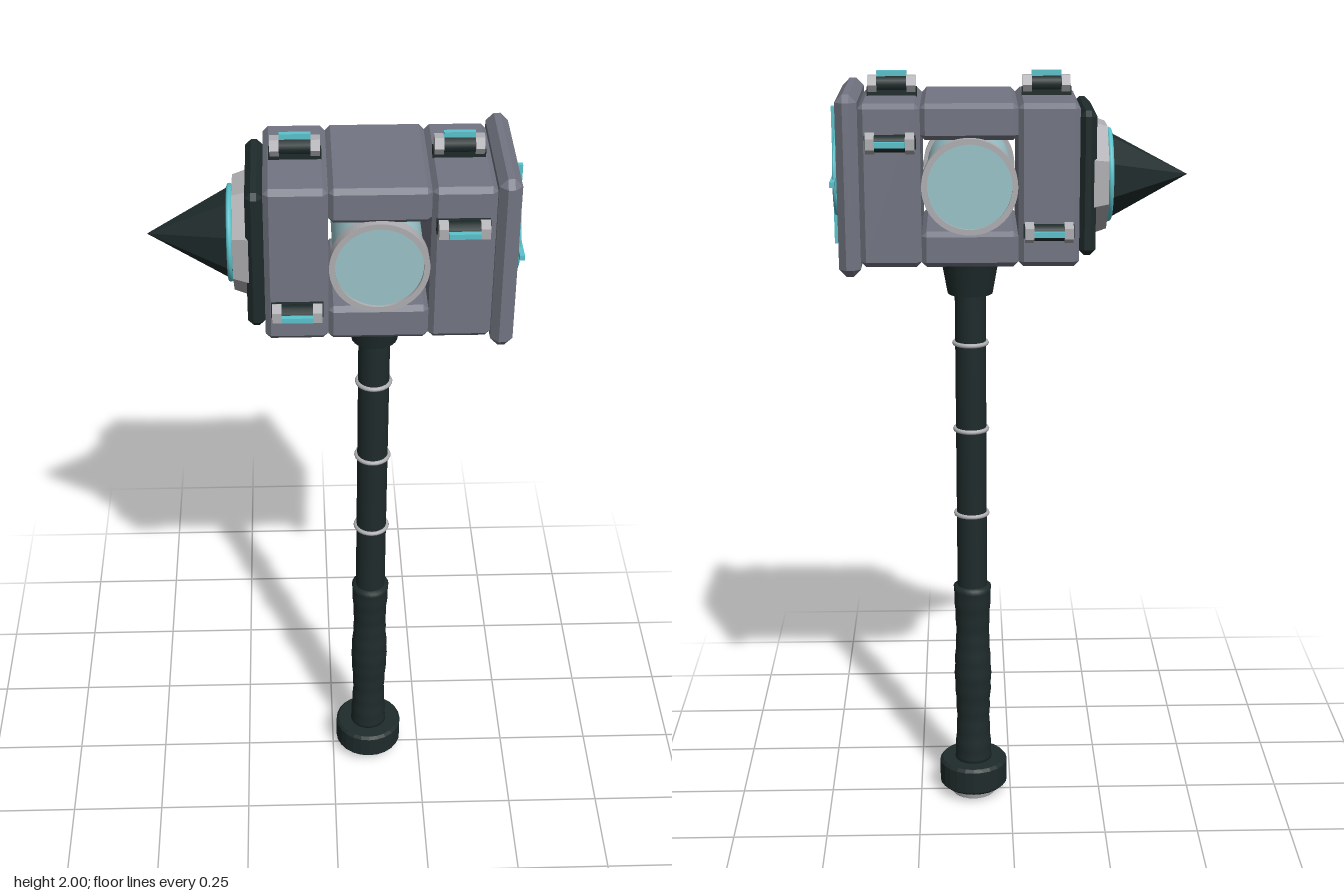
import * as THREE from 'three';
import { ConvexGeometry } from 'three/addons/geometries/ConvexGeometry.js';

const mat = (name, color, extra = {}) => {
  const m = new THREE.MeshStandardMaterial({ color, ...extra });
  m.name = name;
  return m;
};

// Box with flat chamfers on every edge
function chamferBox(w, h, d, c) {
  const pts = [];
  for (const sx of [-1, 1]) for (const sy of [-1, 1]) for (const sz of [-1, 1]) {
    const x = w / 2, y = h / 2, z = d / 2;
    pts.push(new THREE.Vector3(sx * x, sy * (y - c), sz * (z - c)));
    pts.push(new THREE.Vector3(sx * (x - c), sy * y, sz * (z - c)));
    pts.push(new THREE.Vector3(sx * (x - c), sy * (y - c), sz * z));
  }
  return new ConvexGeometry(pts);
}

export function createModel() {
  const model = new THREE.Group();
  model.name = 'warHammer';
  const steel = mat('steel', 0x737683);
  const dark = mat('darkMetal', 0x1f2b2b);
  const darkFlat = mat('darkMetalFaceted', 0x1f2b2b, { flatShading: true });
  const silver = mat('silver', 0xb0b0b4);
  const silverFlat = mat('silverFaceted', 0xb0b0b4, { flatShading: true });
  const cyan = mat('cyanGlow', 0x5cc4ce);
  const glass = mat('paleGlass', 0x9bc5cb);

  const add = (parent, name, geo, material, x = 0, y = 0, z = 0) => {
    const mesh = new THREE.Mesh(geo, material);
    mesh.name = name;
    mesh.position.set(x, y, z);
    parent.add(mesh);
    return mesh;
  };

  const X = 0.103;   // handle axis
  const Y = 1.74;    // head centre height

  // ---- Handle ----
  const handle = new THREE.Group();
  handle.name = 'handle';
  handle.position.x = X;
  model.add(handle);
  add(handle, 'shaft', new THREE.CylinderGeometry(0.04, 0.04, 1.36, 24), dark, 0, 0.77);
  add(handle, 'neck', new THREE.CylinderGeometry(0.077, 0.058, 0.105, 24), dark, 0, 1.489);
  for (const y of [0.833, 1.07, 1.304]) {
    add(handle, 'shaftRing', new THREE.TorusGeometry(0.042, 0.006, 8, 24), silver, 0, y).rotation.x = Math.PI / 2;
  }
  // Grip with gentle waists and fine ridges
  const grip = [new THREE.Vector2(0.038, 0.1)];
  for (let i = 0; i <= 40; i++) {
    const t = i / 40;
    grip.push(new THREE.Vector2(0.0475 + 0.0025 * Math.cos(t * Math.PI * 4) + 0.0008 * Math.cos(i * Math.PI / 2), 0.1 + 0.522 * t));
  }
  grip.push(new THREE.Vector2(0.038, 0.626));
  add(handle, 'grip', new THREE.LatheGeometry(grip, 24), dark);
  const pommel = [[0, 0.026], [0.085, 0.026], [0.093, 0.034], [0.093, 0.096], [0.086, 0.104], [0, 0.104]];
  add(handle, 'pommel', new THREE.LatheGeometry(pommel.map(p => new THREE.Vector2(...p)), 24), darkFlat);
  add(handle, 'pommelCap', new THREE.CylinderGeometry(0.066, 0.06, 0.028, 24), silver, 0, 0.014);

  // ---- Head blocks ----
  const head = new THREE.Group();
  head.name = 'head';
  head.position.y = Y;
  model.add(head);
  add(head, 'spikeBlock', chamferBox(0.15, 0.4, 0.342, 0.013), steel, -0.091);
  add(head, 'faceBlock', chamferBox(0.15, 0.4, 0.342, 0.013), steel, 0.297);
  for (const s of [-1, 1]) {
    add(head, 'middleSlab', chamferBox(0.238, 0.088, 0.342, 0.012), steel, X, s * 0.156);
  }
  add(head, 'strikingPlate', chamferBox(0.054, 0.445, 0.374, 0.019), steel, 0.399);

  // ---- Round window through the middle ----
  add(head, 'windowCore', new THREE.CylinderGeometry(0.108, 0.108, 0.344, 40), glass, X).rotation.x = Math.PI / 2;
  const ringShape = new THREE.Shape().absarc(0, 0, 0.118, 0, Math.PI * 2);
  ringShape.holes.push(new THREE.Path().absarc(0, 0, 0.104, 0, Math.PI * 2, true));
  for (const z of [0.148, -0.18]) {
    const rim = new THREE.ExtrudeGeometry(ringShape, { depth: 0.032, bevelEnabled: false, curveSegments: 40 });
    add(head, 'windowRim', rim, silver, X, 0, z);
  }

  // ---- Cross and ring emblem on the striking plate ----
  add(head, 'crossUpright', new THREE.BoxGeometry(0.012, 0.346, 0.013), cyan, 0.44);
  add(head, 'crossBar', new THREE.BoxGeometry(0.012, 0.013, 0.28), cyan, 0.44);
  add(head, 'crossRing', new THREE.TorusGeometry(0.095, 0.005, 6, 40), cyan, 0.437).rotation.y = Math.PI / 2;

  // ---- Spike, built along +y and turned to point to -x ----
  const spike = new THREE.Group();
  spike.name = 'spike';
  spike.rotation.z = Math.PI / 2;
  head.add(spike);
  add(spike, 'collar', chamferBox(0.356, 0.042, 0.296, 0.014), darkFlat, 0, 0.187);
  const turn = Math.PI / 8;
  add(spike, 'octagonBase', new THREE.CylinderGeometry(0.138, 0.152, 0.04, 8), silverFlat, 0, 0.22).rotation.y = turn;
  add(spike, 'glowRing', new THREE.TorusGeometry(0.111, 0.007, 8, 40), cyan, 0, 0.247).rotation.x = Math.PI / 2;
  add(spike, 'spikeCone', new THREE.ConeGeometry(0.115, 0.207, 8), darkFlat, 0, 0.3435).rotation.y = turn;

  // ---- Bolted clamps: local y points out of the block ----
  const addClamp = (x, y, z, tilt) => {
    const clamp = new THREE.Group();
    clamp.name = 'clamp';
    clamp.position.set(x, y, z);
    clamp.rotation.x = tilt;
    head.add(clamp);
    add(clamp, 'clampFoot', new THREE.BoxGeometry(0.124, 0.022, 0.032), dark, 0, 0.008);
    add(clamp, 'clampRod', new THREE.CylinderGeometry(0.021, 0.021, 0.116, 12), dark, 0, 0.027).rotation.z = Math.PI / 2;
    for (const s of [-1, 1]) {
      const nut = add(clamp, 'clampNut', new THREE.CylinderGeometry(0.026, 0.026, 0.022, 6), silverFlat, s * 0.048, 0.026);
      nut.rotation.z = Math.PI / 2;
    }
    add(clamp, 'clampGlow', new THREE.BoxGeometry(0.074, 0.014, 0.013), cyan, 0, 0.053);
  };
  for (const [x, y] of [[-0.09, -0.108], [0.294, 0.11]]) {
    addClamp(x, 0.2, 0, 0);
    addClamp(x, y, 0.17, Math.PI / 2);
    addClamp(x, y, -0.17, -Math.PI / 2);
  }
  return model;
}
